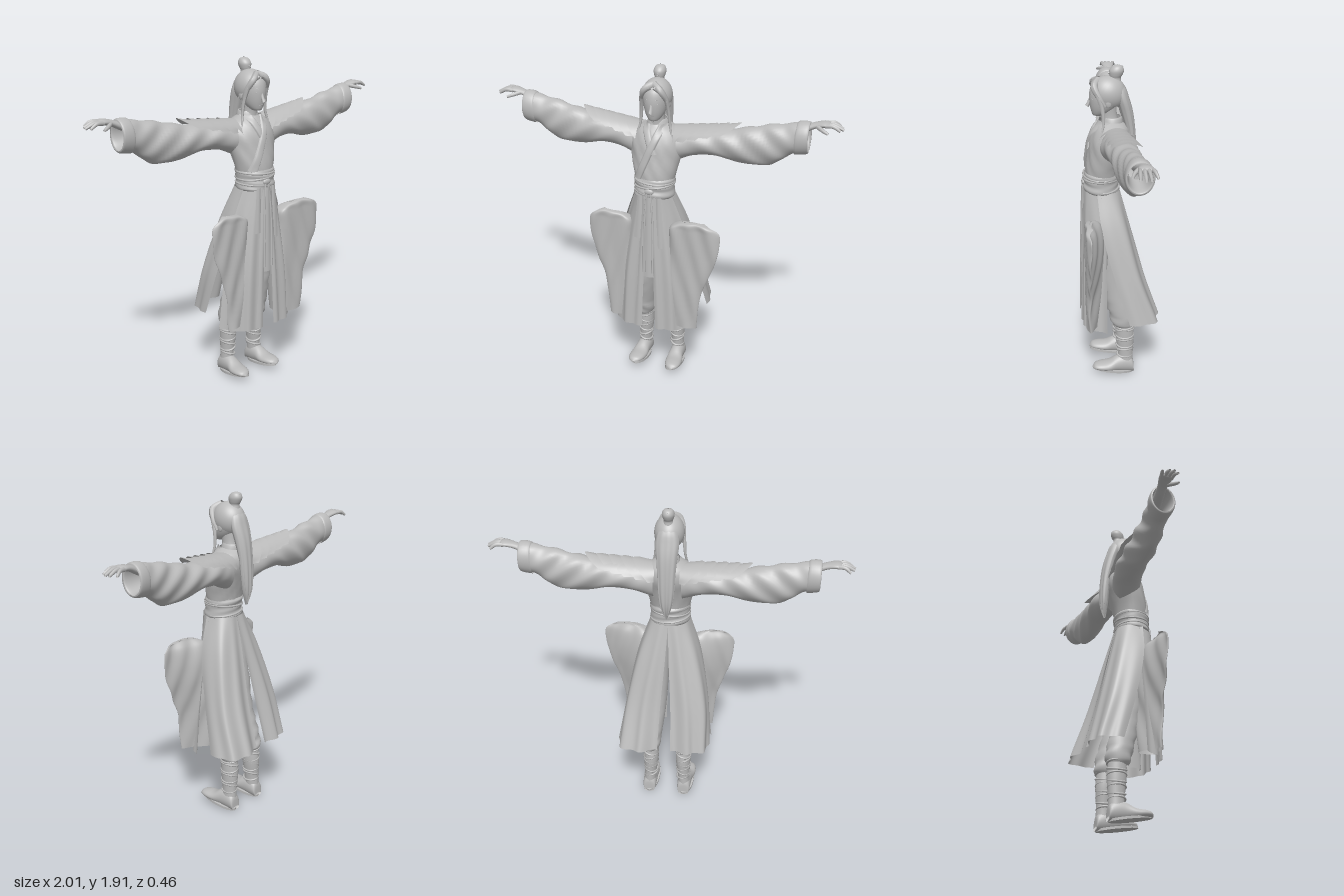
import * as THREE from 'three';
import { mergeVertices } from 'three/addons/utils/BufferGeometryUtils.js';

const grey = new THREE.MeshStandardMaterial({ color: 0xbababa, side: THREE.DoubleSide });
grey.name = 'stone grey';
const V = (x, y, z) => new THREE.Vector3(x, y, z);
const lerp = THREE.MathUtils.lerp;

// Smooth surface through cross-sections (arrays of points); warp(p, u, v) adds folds
function loft(rows, { closed = false, n = 32, m = 24, warp } = {}) {
  const rings = rows.map(r => {
    const c = new THREE.CatmullRomCurve3(r, closed);
    return Array.from({ length: n + 1 }, (_, i) => c.getPoint(i / n));
  });
  const pos = [], idx = [];
  for (let i = 0; i <= n; i++) {
    const col = new THREE.CatmullRomCurve3(rings.map(r => r[i]));
    for (let j = 0; j <= m; j++) {
      const p = col.getPoint(j / m);
      if (warp) warp(p, i / n, j / m);
      pos.push(p.x, p.y, p.z);
      if (i < n && j < m) {
        const a = i * (m + 1) + j, b = a + m + 1;
        idx.push(a, a + 1, b, b, a + 1, b + 1);
      }
    }
  }
  const g = new THREE.BufferGeometry();
  g.setAttribute('position', new THREE.Float32BufferAttribute(pos, 3));
  g.setIndex(idx);
  const out = mergeVertices(g, 1e-5);
  out.computeVertexNormals();
  return out;
}
// Horizontal and sideways elliptical cross-sections
const ringY = ([y, cx, cz, rx, rz]) => Array.from({ length: 12 }, (_, i) => {
  const a = i / 12 * Math.PI * 2;
  return V(cx + rx * Math.sin(a), y, cz + rz * Math.cos(a));
});
const ringX = s => ([x, top, bot, cz, rz]) => Array.from({ length: 12 }, (_, i) => {
  const a = i / 12 * Math.PI * 2;
  return V(s * x, (top + bot) / 2 + (top - bot) / 2 * Math.cos(a), cz + rz * Math.sin(a));
});
const column = (rows, opt) => loft(rows.map(ringY), { closed: true, ...opt });
// Tapered strand with an elliptical section along a path
function strand(pts, w, d, taper = 0.9) {
  const c = new THREE.CatmullRomCurve3(pts);
  const g = new THREE.TubeGeometry(c, 20, 1, 8);
  const p = g.attributes.position, q = V(0, 0, 0);
  for (let i = 0; i < p.count; i++) {
    const t = Math.floor(i / 9) / 20, o = c.getPointAt(t);
    q.fromBufferAttribute(p, i).sub(o);
    const k = 1 - taper * t * t;
    p.setXYZ(i, o.x + q.x * w * k, o.y + q.y * Math.max(w, d) * k, o.z + q.z * d * k);
  }
  g.computeVertexNormals();
  return g;
}

// Torso profile: y, centre x, centre z, half width, half depth
const torso = [[1.16, 0, .1, .108, .095], [1.25, 0, .097, .107, .092], [1.33, 0, .09, .122, .097],
  [1.42, 0, .07, .142, .103], [1.5, 0, .05, .15, .11], [1.56, 0, .04, .125, .095], [1.6, 0, .045, .06, .062]];
function chestZ(x, y) {
  let i = 0;
  while (i < torso.length - 2 && y > torso[i + 1][0]) i++;
  const t = THREE.MathUtils.clamp((y - torso[i][0]) / (torso[i + 1][0] - torso[i][0]), 0, 1);
  const [cz, rx, rz] = [2, 3, 4].map(k => lerp(torso[i][k], torso[i + 1][k], t));
  return cz + rz * Math.sqrt(Math.max(0, 1 - (x / rx) ** 2));
}

export function createModel() {
  const root = new THREE.Group();
  root.name = 'robedFigure';
  const add = (name, geo, x = 0, y = 0, z = 0) => {
    const m = new THREE.Mesh(geo, grey);
    m.name = name;
    m.position.set(x, y, z);
    root.add(m);
    return m;
  };
  const ball = (name, r, x, y, z, sx, sy, sz) => add(name, new THREE.SphereGeometry(r, 24, 16), x, y, z).scale.set(sx, sy, sz);

  // Torso, neck and belt
  add('torso', column(torso, { warp: (p, u, v) => { p.z += .003 * Math.sin(p.x * 90 + p.y * 50) * Math.sin(v * Math.PI); } }));
  add('neck', column([[1.55, 0, .04, .055, .055], [1.62, 0, .05, .04, .045], [1.69, 0, .06, .042, .05]], { m: 8 }));
  add('belt', column([[1.19, 0, .1, .11, .097], [1.2, 0, .1, .117, .104], [1.24, 0, .1, .113, .1],
    [1.29, 0, .095, .117, .103], [1.305, 0, .092, .114, .096]], { n: 48, warp: p => { p.z += .003 * Math.sin(p.y * 150 + p.x * 20); } }));
  for (const [y, tilt] of [[1.215, -.1], [1.26, .08], [1.285, -.06]]) {
    const cord = add('beltCord', new THREE.TorusGeometry(.113, .006, 8, 48), 0, y, .098);
    cord.rotation.set(Math.PI / 2, tilt, 0);
    cord.scale.y = .9;
  }
  // Lapels: the under one stops where the broad over one crosses it
  for (const [s, end] of [[-1, .5], [1, 1]]) {
    const rows = [0, .2, .4, .6, .8, 1].map(k => {
      const t = k * end, y = 1.605 - .3 * t, x = s * (.05 - .125 * t);
      return [-.024, -.016, .016, .024].map((d, i) => V(x + d, y, chestZ(x + d, y) + (i % 3 ? .01 : .001) + (s > 0 ? .004 : 0)));
    });
    add('lapel', loft(rows, { n: 12 }));
  }
  add('collar', column([[1.585, 0, .035, .066, .062], [1.622, 0, .032, .052, .054], [1.622, 0, .034, .046, .048]], { m: 6 }));

  // Head, face and hair
  add('head', column([[1.628, 0, .115, .004, .004], [1.634, 0, .11, .026, .03], [1.66, 0, .092, .048, .058], [1.7, 0, .078, .063, .08],
    [1.75, 0, .07, .07, .09], [1.8, 0, .065, .064, .082], [1.84, 0, .06, .03, .04], [1.845, 0, .06, .004, .004]]));
  add('nose', strand([V(0, 1.685, .172), V(0, 1.7, .163), V(0, 1.745, .148)], .01, .011, .6));
  ball('mouth', .017, 0, 1.664, .144, 1, .28, .45);
  for (const s of [-1, 1]) {
    ball('eye', .013, s * .027, 1.733, .145, 1, .35, .4);
    add('brow', strand([V(s * .014, 1.75, .154), V(s * .03, 1.756, .148), V(s * .046, 1.749, .135)], .003, .003));
    ball('ear', .02, s * .072, 1.715, .06, .35, 1.2, .8);
    add('sideLock', strand([V(s * .01, 1.82, .135), V(s * .06, 1.78, .125), V(s * .076, 1.69, .095),
      V(s * .085, 1.6, .09), V(s * .112, 1.5, .12)], .013, .014));
    add('frontHair', strand([V(0, 1.83, .11), V(s * .045, 1.805, .135), V(s * .07, 1.75, .11), V(s * .073, 1.7, .08)], .017, .022, .6));
  }
  const cap = new THREE.SphereGeometry(1, 32, 20, 0, Math.PI * 2, 0, Math.PI * .62);
  const hair = add('hairCap', cap, 0, 1.755, .055);
  hair.scale.set(.083, .096, .1);
  hair.rotation.x = -.5;
  add('ponytail', column([[1.825, 0, .02, .015, .015], [1.79, 0, -.002, .05, .035], [1.73, 0, -.022, .064, .037], [1.65, 0, -.045, .058, .036],
    [1.55, 0, -.066, .05, .028], [1.45, 0, -.075, .045, .025], [1.36, 0, -.077, .032, .02], [1.28, 0, -.072, .004, .004]],
    { n: 48, warp: (p, u, v) => { p.z += .004 * v * Math.sin(u * 18 * Math.PI); } }));
  add('topKnot', column([[1.82, 0, .02, .03, .036], [1.84, 0, .015, .025, .03], [1.855, 0, .012, .03, .036], [1.88, 0, .008, .034, .04],
    [1.902, 0, .004, .024, .026], [1.91, 0, .002, .004, .004]]));
  add('hairPin', strand([V(0, 1.865, .055), V(0, 1.875, 0), V(0, 1.9, -.025)], .006, .006, .3));

  for (const s of [-1, 1]) {
    const k = s > 0 ? 1.05 : .95;
    // Sleeve, hollow at the wrist, with a cuff band
    add('sleeve', loft([[.08, 1.565, 1.37, .035, .085], [.2, 1.572, 1.42, .012, .088], [.32, 1.578, 1.43, 0, .08], [.45, 1.597, 1.405, -.005, .076],
      [.6, 1.633, 1.402, -.01, .066], [.68, 1.648, 1.44, -.012, .062], [.74, 1.66, 1.487, -.013, .064], [.82, 1.668, 1.503, -.015, .066],
      [.815, 1.662, 1.51, -.015, .06], [.7, 1.64, 1.53, -.012, .045]].map(ringX(s)), {
      closed: true, n: 40, m: 60, warp: (p, u, v) => {
        const f = .007 * Math.sin(Math.abs(p.x) * 36 + p.y * 45) * Math.sin(Math.PI * Math.min(1, v * 1.3));
        p.z += f * Math.sign(p.z + .01) * Math.min(1, Math.abs(p.z + .01) * 25);
        p.y += f * .5;
      } }));
    add('cuff', loft([[.755, 1.66, 1.485, -.014, .066], [.765, 1.671, 1.485, -.014, .07], [.822, 1.673, 1.497, -.015, .071],
      [.826, 1.664, 1.506, -.015, .063]].map(ringX(s)), { closed: true, m: 10 }));
    // Hand
    add('forearm', loft([[.68, 1.63, 1.56, -.02, .034], [.8, 1.655, 1.61, -.025, .028], [.85, 1.672, 1.636, -.028, .028],
      [.9, 1.682, 1.65, -.03, .038], [.925, 1.677, 1.652, -.03, .035], [.93, 1.668, 1.658, -.03, .02]].map(ringX(s)), { closed: true, n: 20 }));
    [[.975, -.078], [.995, -.045], [1, -.02], [.985, .006]].forEach(([x, z], i) => {
      const z0 = -.056 + i * .018;
      add('finger', strand([V(s * .905, 1.664, z0), V(s * .945, 1.666, (z + z0) / 2), V(s * x, 1.645, z)], .012, .011, .4));
    });
    add('thumb', strand([V(s * .86, 1.655, -.01), V(s * .895, 1.645, .02), V(s * .925, 1.635, .035)], .012, .012, .4));

    // Layered pointed shoulder plates wrapped over the arm, each flaring over the next, tips curling up
    for (let i = 0; i < 5; i++) {
      const x0 = .07 + i * .05, x1 = .2 + i * .065, span = 1.5 - i * .13;
      const rows = [0, .35, .7, 1].map(t => [-1, -.75, -.5, -.25, 0, .25, .5, .75, 1].map(a => {
        const r = .99 + .16 * t, tip = Math.max(0, 1 - Math.abs(a) * 1.6);
        return V(s * lerp(x0, x1 - .1 * Math.abs(a) ** 1.3, t),
          1.498 + .004 * i + .083 * r * Math.cos(a * span) + tip * t * t * (.006 + .0035 * i),
          .022 - .007 * i + .09 * r * Math.sin(a * span));
      }));
      add('shoulderPlate', loft(rows, { n: 32, m: 12 }));
    }

    // Back skirt panel with folds that deepen towards the hem
    const sheet = rows => rows.map(([y, ...p]) => p.map(([x, z]) => V(s * x, y, z)));
    const folds = (f, amp) => (p, u, v) => {
      const d = amp * v * Math.sin(u * f), l = Math.hypot(p.x, p.z - .08) || 1;
      p.x += d * p.x / l;
      p.z += d * (p.z - .08) / l;
    };
    const sway = s * .012;
    add('backSkirtPanel', loft(sheet([[1.2, [.112, .13], [.1, .04], [.05, 0], [0, -.002]], [1, [.18, .11], [.17, -.01], [.09, -.05], [.01, -.05]],
      [.7, [.235, .04], [.235, -.08], [.14, -.128], [.03, -.115]],
      [.43, [.27 + sway, -.04], [.258 + sway, -.165 - sway], [.16, -.206 - sway], [.04, -.185]]]), { n: 48, warp: folds(19, .01) }));
    // Front skirt panel with a raised inner border
    add('frontSkirtPanel', loft(sheet([[1.2, [0, .2], [.06, .188], [.112, .11]], [1, [.015, .205], [.1, .193], [.175, .09]],
      [.7, [.03, .216], [.14, .206], [.22, .09]], [.37, [.042, .224], [.16, .21], [.26, .09]]]), { n: 40, warp: folds(19, .006) }));
    add('panelBorder', loft(sheet([[1.2, [.005, .2], [.02, .206], [.035, .198]], [.7, [.03, .217], [.05, .224], [.07, .214]],
      [.37, [.042, .225], [.065, .231], [.09, .221]]]), { n: 8 }));
    // Billowing hip flap, a wedge thinning to its outer edge: y, inner x, outer x, inner back z
    const front = s > 0 ? .205 : .188;
    const flap = [[1.085, .19, .3, .165], [1.078, .165, .335, .15], [1.035, .125, .385, .115], [.96, .12, .388, .09], [.86, .12, .372, .08],
      [.74, .12, .33, .08], [.62, .12, .292, .08], [.4, .13, .272, .085]].map(([y, a, b, zb], i) => {
      const o = b * k, zf = front - (i ? 0 : .02), w = o - a;
      return [[a, zf - .01], [a + w * .5, zf], [o - w * .12, zf], [o, zf - .014], [o - w * .2, lerp(zf, zb, .3)], [a + w * .4, lerp(zf, zb, .7)], [a, zb]]
        .map(([x, z]) => V(s * x, y - (i < 2 ? .012 * Math.abs(x - .27) / .1 : 0), z));
    });
    add('hipFlap', loft(flap, { closed: true, n: 56, m: 40,
      warp: (p, u, v) => { p.z += .005 * Math.min(1, v * 4) * Math.sin(Math.abs(p.x) * 60 + p.y * 18); } }));
    add('hipFlapTop', loft([flap[0].slice(0, 4), [flap[0][0], flap[0][6], flap[0][5], flap[0][4], flap[0][3]]], { n: 12, m: 2 }));

    // Trouser leg, wrapped shin and boot
    add('trouserLeg', column([[1.1, s * .06, .09, .07, .08], [.85, s * .075, .07, .072, .08], [.6, s * .083, .035, .066, .075], [.42, s * .098, -.01, .06, .075],
      [.35, s * .1, -.022, .055, .07], [.325, s * .1, -.025, .042, .055]], { warp: p => { p.z += .005 * Math.sin(p.y * 75 + p.x * 40); } }));
    add('shin', column([[.36, s * .1, -.025, .045, .052], [.25, s * .1, -.03, .045, .055], [.14, s * .105, -.033, .037, .046], [.06, s * .108, -.035, .037, .045]]));
    for (let i = 0; i < 7; i++) {
      const wrap = add('shinWrap', new THREE.TorusGeometry(.046 - .0012 * i, .006, 8, 24), s * .102, .335 - i * .034, -.029);
      wrap.rotation.set(Math.PI / 2, (i % 2 ? .25 : -.25), 0);
      wrap.scale.y = 1.18;
    }
    const boot = [[-.083, .03, .006, .03], [-.075, .1, .004, .038], [-.035, .125, .006, .042], [.02, .115, .014, .043], [.07, .088, .024, .05],
      [.12, .083, .034, .047], [.155, .075, .042, .032], [.17, .058, .046, .008]].map(([z, top, bot, w]) =>
      Array.from({ length: 12 }, (_, i) => {
        const a = i / 12 * Math.PI * 2, x = .108 + Math.max(0, z) * .08;
        return V(s * x + w * Math.sin(a), (top + bot) / 2 + (top - bot) / 2 * Math.cos(a), z);
      }));
    add('boot', loft(boot, { closed: true }));
    const soleShape = new THREE.Shape().absellipse(0, 0, .05, .126, 0, Math.PI * 2);
    const sole = add('sole', new THREE.ExtrudeGeometry(soleShape, { depth: .014, bevelEnabled: false, curveSegments: 20 }), s * .11, .036, .043);
    sole.rotation.x = Math.PI / 2 - .16;
  }

  // Hanging sash strips and belt knot
  [[-.065, .95, .026], [-.035, .74, .022], [0, .71, .03], [.035, .73, .022], [.065, .9, .026]].forEach(([x, end, w], i) => {
    const rows = [0, .35, .7, 1].map(t => [-1, 0, 1].map(a =>
      V(x * (.8 + .2 * t) + a * w * (.6 + .4 * t), lerp(1.21, end, t), .207 + .01 * t - Math.abs(x) * .2 + (a ? 0 : .006) - (i % 2) * .004)));
    add('sashStrip', loft(rows, { n: 10 }));
  });
  for (const s of [-1, 1])
    add('tasselCord', strand([V(s * .01, 1.24, .203), V(s * .024, 1.05, .212), V(s * .026, .74, .219)], .006, .005, -.4));
  ball('beltKnot', .022, 0, 1.24, .2, 1.2, .8, .5);
  return root;
}
